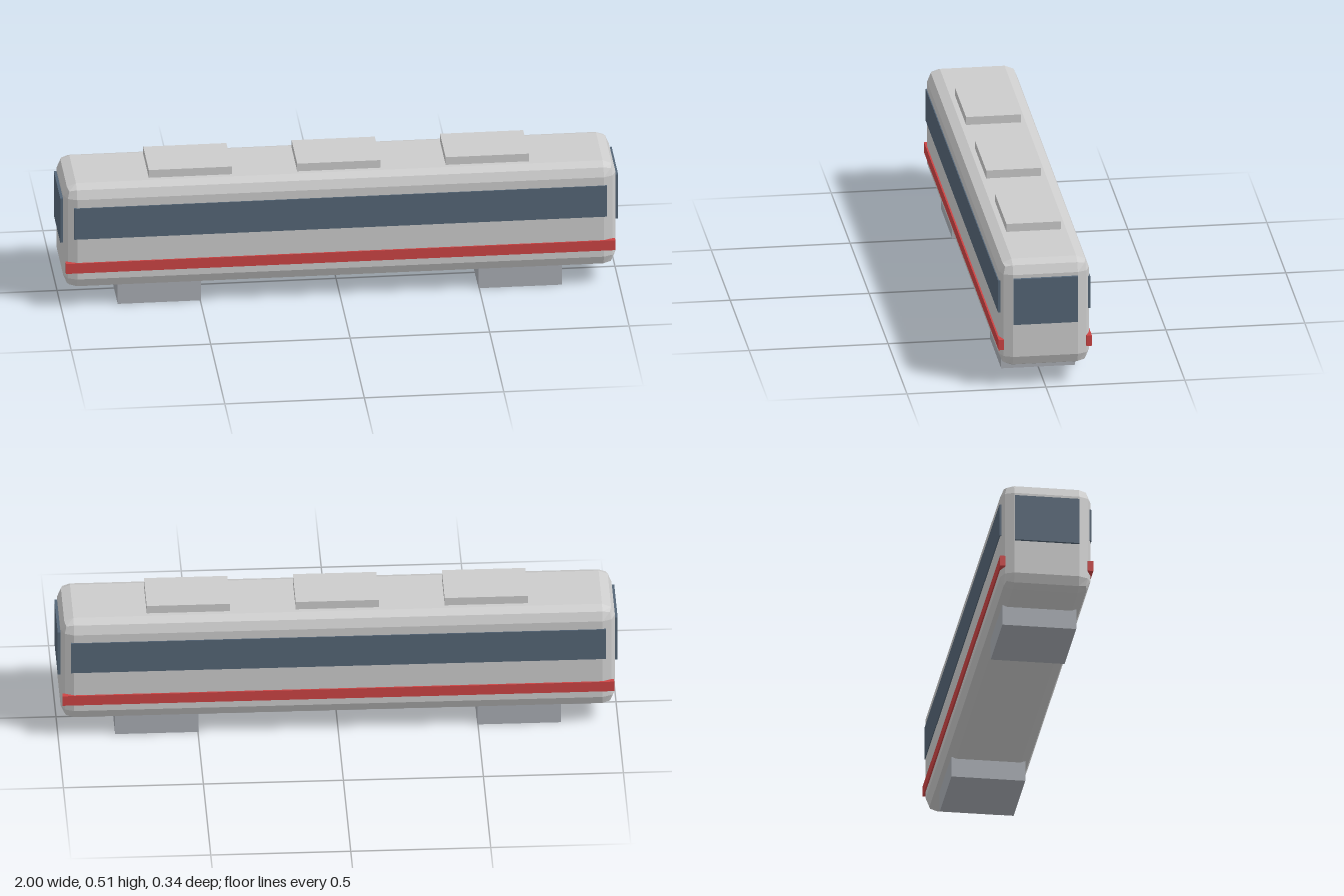
import * as THREE from 'three';
import { RoundedBoxGeometry } from 'three/addons/geometries/RoundedBoxGeometry.js';

function material(name, color) {
  const m = new THREE.MeshStandardMaterial({ color, flatShading: true });
  m.name = name;
  return m;
}

export function createModel() {
  const shell = material('light grey', 0xcccccc);
  const glass = material('slate blue glass', 0x556677);
  const red = material('red', 0xcc4444);
  const steel = material('steel grey', 0xaaaeb5);

  const car = new THREE.Group();
  car.name = 'railCar';

  function add(name, geometry, mat, x, y, z) {
    const mesh = new THREE.Mesh(geometry, mat);
    mesh.name = name;
    mesh.position.set(x, y, z);
    car.add(mesh);
  }

  // Body with two-facet bevelled edges
  add('body', new RoundedBoxGeometry(1.98, 0.405, 0.325, 1, 0.046), shell, 0, 0.2735, 0);

  // Roof units
  for (const x of [-0.532, 0, 0.532]) {
    add('roofUnit', new THREE.BoxGeometry(0.298, 0.04, 0.197), shell, x, 0.486, 0);
  }

  for (const side of [-1, 1]) {
    // Long window bands and stripes on both sides
    add('sideWindow', new THREE.BoxGeometry(1.91, 0.122, 0.008), glass, 0, 0.337, side * 0.162);
    add('stripe', new THREE.BoxGeometry(1.97, 0.039, 0.02), red, 0, 0.163, side * 0.158);

    // Windscreen at each end
    add('endWindow', new THREE.BoxGeometry(0.0099, 0.174, 0.232), glass, side * 0.995, 0.33, 0);

    // Bogies under the floor
    add('bogie', new THREE.BoxGeometry(0.298, 0.1, 0.266), steel, side * 0.647, 0.05, 0);
  }

  return car;
}
